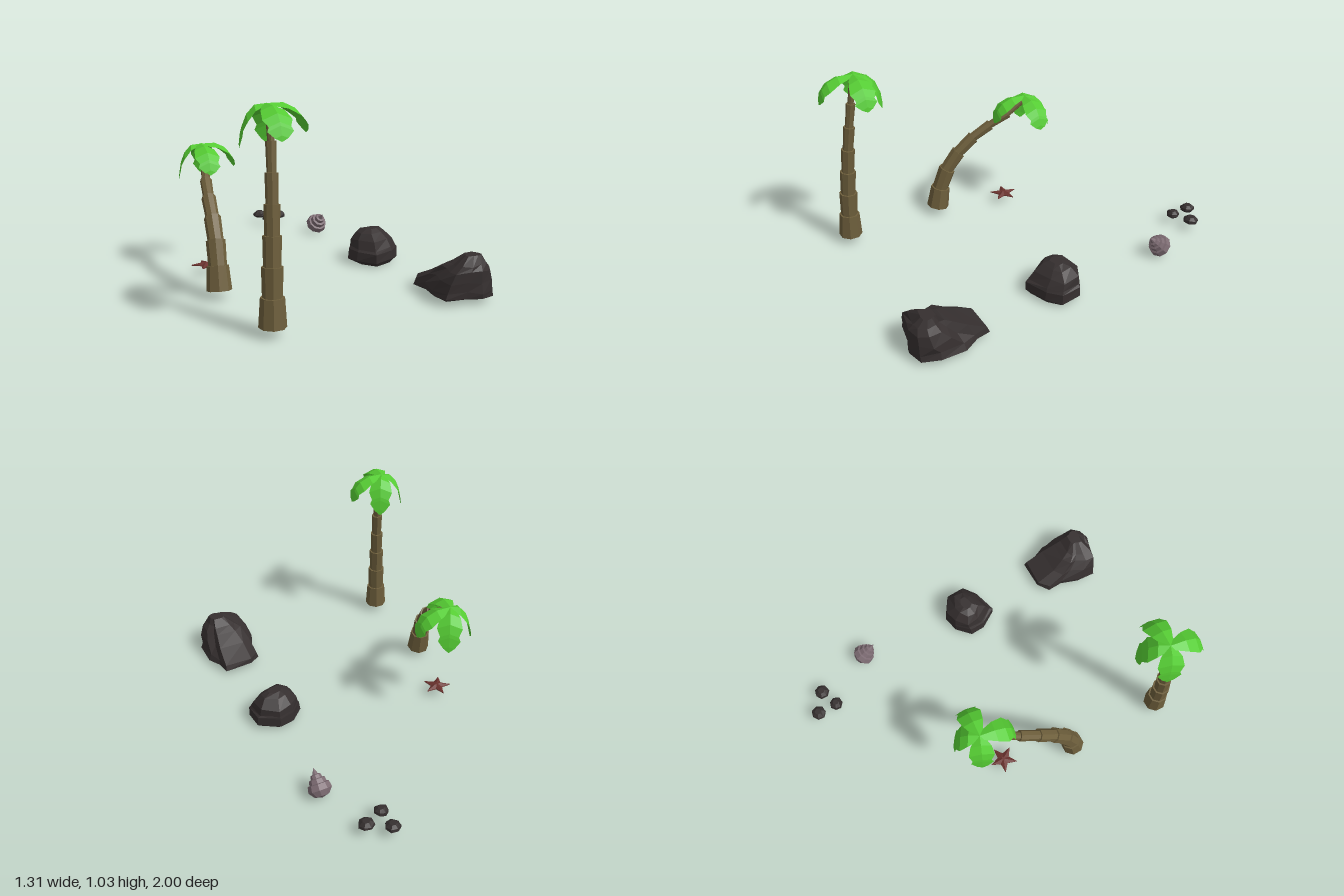
import * as THREE from 'three';

const V = (x, y, z) => new THREE.Vector3(x, y, z);
const mat = (color, side = THREE.FrontSide) => new THREE.MeshStandardMaterial({ color, flatShading: true, side });
const bark = mat(0x6e5f3c), leafGreen = mat(0x55cc33, THREE.DoubleSide);
const stone = mat(0x352f2f), shellPink = mat(0x7d6c73), starRed = mat(0x6b322e);

let seed = 7;
const jitter = (a) => {
  seed = (seed * 16807) % 2147483647;
  return (seed / 2147483647 - 0.5) * 2 * a;
};

function part(name, geometry, material) {
  const m = new THREE.Mesh(geometry, material);
  m.name = name;
  return m;
}

// Skin over rings of points, bottom ring first; closed rings get end caps
function loft(rings, closed = true) {
  const pos = [];
  const tri = (...pts) => pts.forEach((p) => pos.push(p.x, p.y, p.z));
  const n = rings[0].length;
  const count = closed ? n : n - 1;
  for (let i = 0; i < rings.length - 1; i++) {
    const a = rings[i], b = rings[i + 1];
    for (let j = 0; j < count; j++) {
      const k = (j + 1) % n;
      tri(a[j], b[j], a[k]);
      tri(a[k], b[j], b[k]);
    }
  }
  if (closed) {
    const cap = (ring, up) => {
      const c = ring.reduce((s, p) => s.add(p), V(0, 0, 0)).divideScalar(n);
      ring.forEach((p, j) => {
        const q = ring[(j + 1) % n];
        up ? tri(c, q, p) : tri(c, p, q);
      });
    };
    cap(rings[0], false);
    cap(rings[rings.length - 1], true);
  }
  const g = new THREE.BufferGeometry();
  g.setAttribute('position', new THREE.Float32BufferAttribute(pos, 3));
  g.computeVertexNormals();
  return g;
}

// Ringed trunk: stacked segments that flare a little at their upper end
function trunk(points) {
  const curve = new THREE.CatmullRomCurve3(points.map((p) => V(...p)));
  const rings = [], segments = 7, sides = 8;
  const ring = (t, r) => {
    const c = curve.getPointAt(t), d = curve.getTangentAt(t);
    const u = V(1, 0, 0).addScaledVector(d, -d.x).normalize();
    const v = u.clone().cross(d);
    rings.push(Array.from({ length: sides }, (_, j) => {
      const a = ((j + 0.5) / sides) * Math.PI * 2;
      return c.clone().addScaledVector(u, r * Math.cos(a)).addScaledVector(v, r * Math.sin(a));
    }));
  };
  for (let i = 0; i < segments; i++) {
    const low = 0.056 - 0.0062 * i;
    ring(i / segments, i === 0 ? 0.065 : low - 0.003);
    ring((i + 1) / segments, low);
  }
  return part('trunk', loft(rings), bark);
}

// Drooping folded leaf: heading angle, horizontal reach, drop at the tip
function leaf(angle, reach, drop) {
  const dx = Math.cos(angle), dz = Math.sin(angle);
  const stations = [[0, 0.02], [0.3, 0.055], [0.55, 0.068], [0.72, 0.05], [0.78, 0.06], [0.92, 0.03], [1, 0.002]];
  const rings = stations.map(([t, w]) => {
    const r = reach * Math.sin(t * 1.45) / Math.sin(1.45);
    const y = 0.015 * Math.sin(t * Math.PI) - drop * t ** 2;
    return [-1, 0, 1].map((s) => V(dx * r - dz * w * s, y - Math.abs(s) * w * 0.4, dz * r + dx * w * s));
  });
  return part('leaf', loft(rings, false), leafGreen);
}

function palm(name, path, crownAt) {
  const g = new THREE.Group();
  g.name = name;
  g.add(trunk(path));
  const crown = new THREE.Group();
  crown.name = 'crown';
  crown.position.set(...crownAt);
  for (const l of [[0.05, 0.195, 0.14], [1.7, 0.195, 0.14], [3.5, 0.12, 0.2], [5.25, 0.14, 0.2]]) crown.add(leaf(...l));
  g.add(crown);
  return g;
}

// Rock: one outline fitted to a box [y, x0, x1, z0, z1] at each level
function rock(name, outline, levels, rough) {
  const xs = outline.map((p) => p[0]), zs = outline.map((p) => p[1]);
  const x0 = Math.min(...xs), x1 = Math.max(...xs), z0 = Math.min(...zs), z1 = Math.max(...zs);
  const rings = levels.map(([y, a, b, c, d], i) => {
    const r = i > 0 && i < levels.length - 1 ? rough : 0;
    return outline.map(([x, z]) => V(
      a + ((x - x0) / (x1 - x0)) * (b - a) + jitter(r * 0.5),
      y + jitter(r),
      c + ((z - z0) / (z1 - z0)) * (d - c) + jitter(r * 0.5)));
  });
  return part(name, loft(rings), stone);
}

export function createModel() {
  const model = new THREE.Group();
  model.name = 'beachSet';

  // Palms
  model.add(palm('tallPalm',
    [[-0.557, 0.05, 0.845], [-0.553, 0.3, 0.835], [-0.54, 0.6, 0.81], [-0.525, 0.85, 0.775], [-0.52, 1.01, 0.75]],
    [-0.53, 1.035, 0.74]));
  model.add(palm('leaningPalm',
    [[-0.56, 0.05, 0.28], [-0.555, 0.2, 0.25], [-0.54, 0.33, 0.19], [-0.52, 0.43, 0.1], [-0.495, 0.51, 0],
      [-0.46, 0.57, -0.1], [-0.425, 0.63, -0.19], [-0.42, 0.68, -0.25]],
    [-0.42, 0.705, -0.255]));

  // Rocks
  model.add(rock('largeRock',
    [[0.38, 0.64], [0.44, 0.59], [0.6, 0.59], [0.61, 0.67], [0.645, 0.75], [0.655, 0.88],
      [0.61, 0.97], [0.53, 0.99], [0.455, 0.96], [0.35, 0.94], [0.35, 0.83], [0.385, 0.725]],
    [[0.025, 0.37, 0.63, 0.64, 0.95], [0.04, 0.34, 0.66, 0.59, 0.995], [0.07, 0.345, 0.65, 0.6, 0.995],
      [0.12, 0.36, 0.64, 0.71, 0.99], [0.17, 0.39, 0.62, 0.78, 0.985], [0.2, 0.43, 0.6, 0.82, 0.965],
      [0.24, 0.49, 0.58, 0.86, 0.93]], 0.009));
  model.add(rock('roundRock',
    [[0.34, 0.07], [0.41, 0], [0.5, -0.03], [0.61, 0.04], [0.62, 0.16], [0.545, 0.22], [0.41, 0.26], [0.345, 0.16]],
    [[0.01, 0.37, 0.59, 0.01, 0.24], [0.03, 0.335, 0.615, -0.02, 0.26], [0.09, 0.34, 0.61, -0.02, 0.26],
      [0.1, 0.35, 0.6, -0.015, 0.245], [0.14, 0.36, 0.59, -0.01, 0.215], [0.185, 0.39, 0.55, 0.04, 0.175],
      [0.2, 0.43, 0.51, 0.08, 0.14]], 0.007));

  // Pebbles
  const hex = Array.from({ length: 7 }, (_, j) => [Math.cos(j * 0.9), Math.sin(j * 0.9)]);
  for (const [x, z, r] of [[0.3, -0.96, 0.041], [0.41, -0.89, 0.042], [0.305, -0.845, 0.037]]) {
    const box = (y, k) => [y, x - r * k, x + r * k, z - r * k, z + r * k];
    model.add(rock('pebble', hex, [box(0.048, 0.65), box(0.06, 1), box(0.075, 0.9), box(0.09, 0.45)], 0.004));
  }

  // Shell: stepped whorls tapering to a tip
  const profile = [[0, -0.01], [0.04, 0], [0.064, 0.03], [0.058, 0.062], [0.047, 0.065], [0.043, 0.088],
    [0.031, 0.091], [0.027, 0.11], [0.016, 0.113], [0, 0.145]];
  const shell = part('shell', new THREE.LatheGeometry(profile.map((p) => new THREE.Vector2(...p)), 9), shellPink);
  shell.position.set(0.51, 0.036, -0.596);
  shell.rotation.x = Math.PI / 4;
  model.add(shell);

  // Starfish: flat five-armed star with a raised centre
  const star = (y, k) => Array.from({ length: 10 }, (_, j) => {
    const a = 0.96 + (j * Math.PI) / 5, r = (j % 2 ? 0.034 : 0.08) * k;
    return V(-0.455 + r * Math.cos(a), y, -0.122 + r * Math.sin(a));
  });
  model.add(part('starfish', loft([star(0.055, 1), star(0.06, 1), star(0.073, 0.2)]), starRed));

  return model;
}
